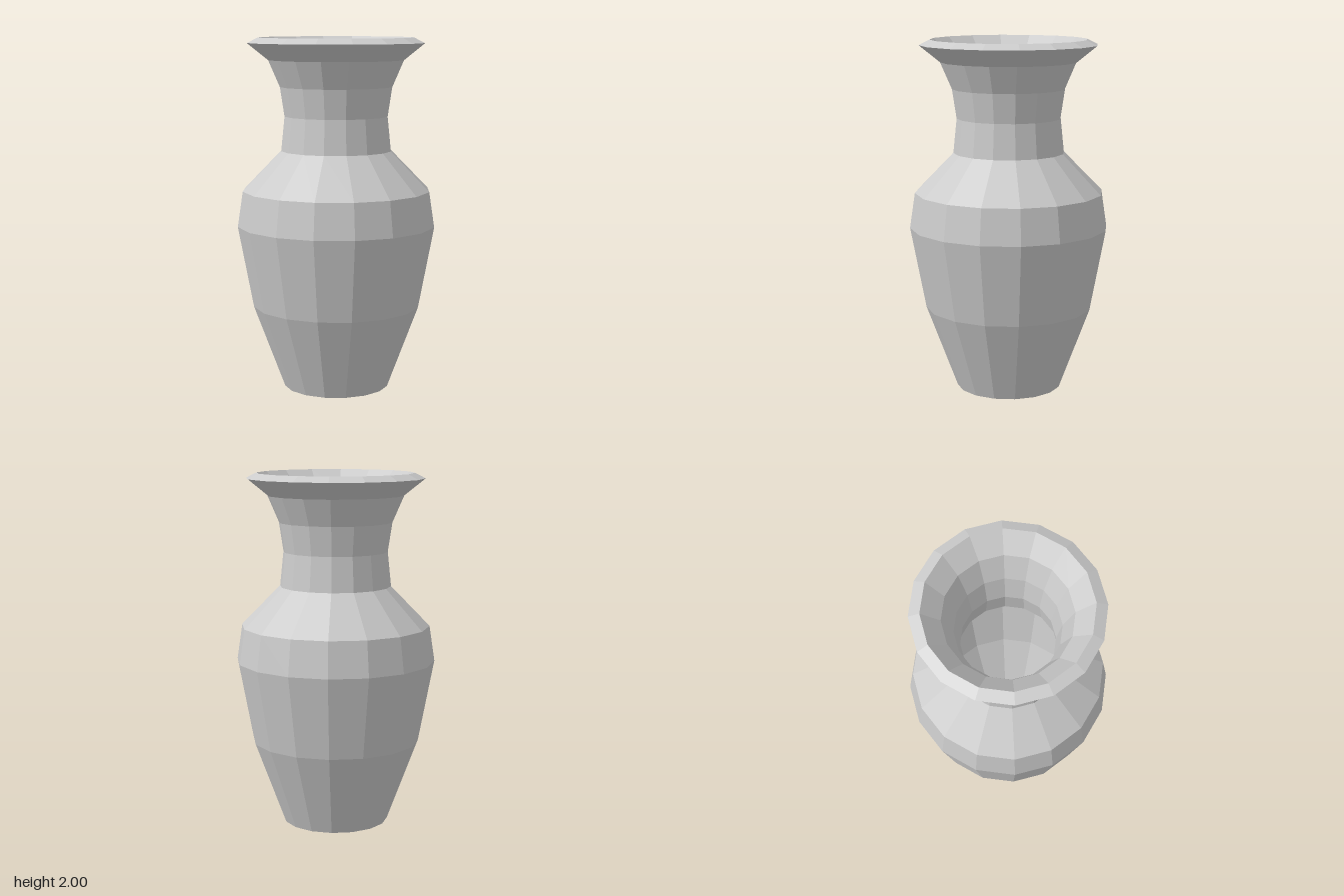
import * as THREE from 'three';

const SIDES = 16;

// Profiles as [radius, height], running up the outside and down the inside
const OUTER = [
  [0, 0], [0.3, 0], [0.477, 0.475], [0.565, 0.94], [0.535, 1.14], [0.315, 1.365],
  [0.295, 1.56], [0.32, 1.725], [0.385, 1.875], [0.503, 1.97],
];
const RIM = [[0.503, 1.97], [0.443, 2]];
const INNER = [
  [0.443, 2], [0.342, 1.895], [0.283, 1.735], [0.255, 1.56], [0.277, 1.38],
  [0.498, 1.12], [0.525, 0.94], [0.438, 0.485], [0.272, 0.04], [0, 0.04],
];

export function createModel() {
  const vase = new THREE.Group();
  vase.name = 'vase';
  const material = new THREE.MeshStandardMaterial({ color: 0xcccccc, flatShading: true });

  const turn = (name, profile) => {
    const points = profile.map(([r, y]) => new THREE.Vector2(r, y));
    const mesh = new THREE.Mesh(new THREE.LatheGeometry(points, SIDES), material);
    mesh.name = name;
    vase.add(mesh);
  };

  turn('outerBody', OUTER); // base, belly, shoulder, neck and flared lip
  turn('rim', RIM);         // sloped top of the lip
  turn('innerWall', INNER); // hollow with its floor
  return vase;
}
